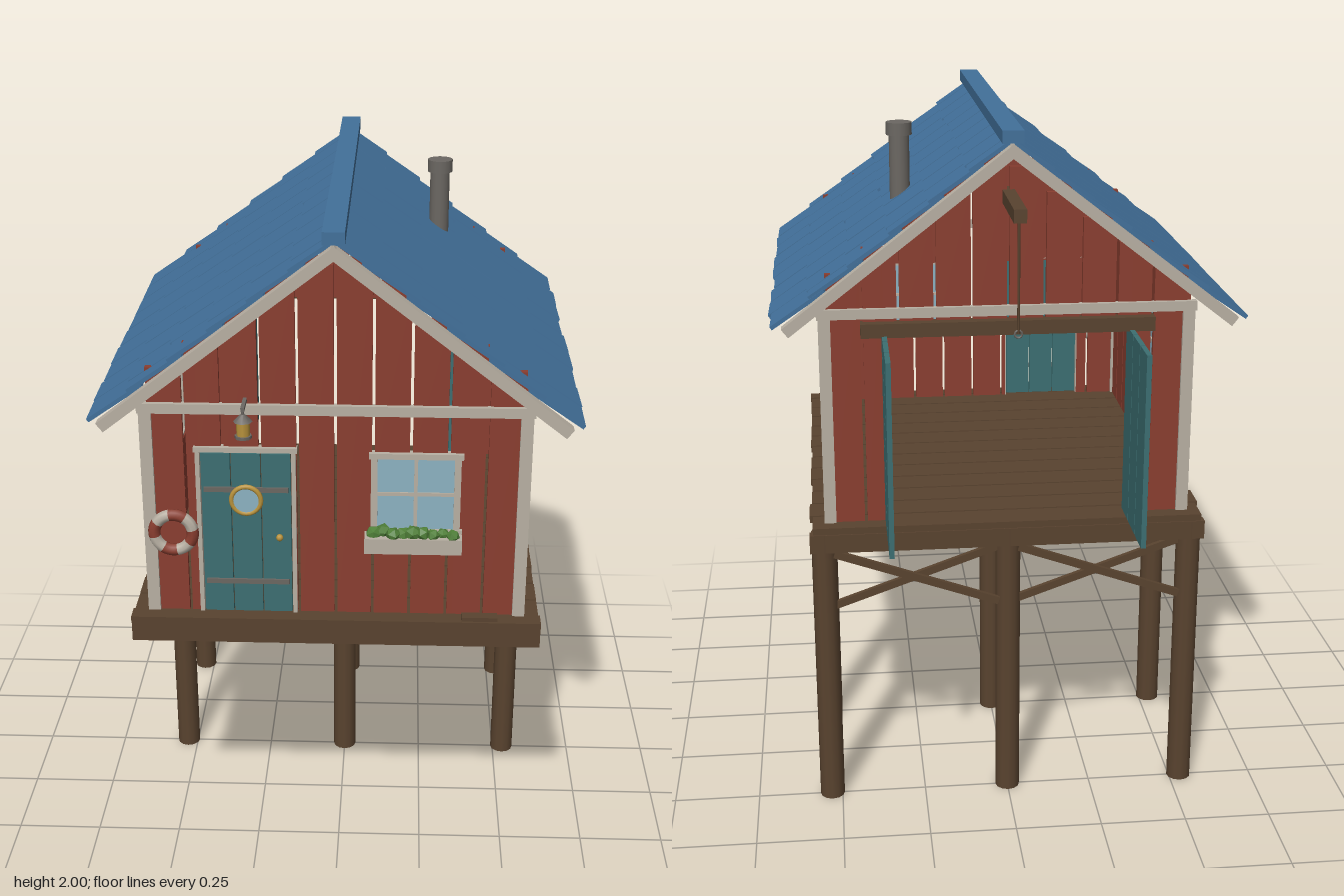
import * as THREE from 'three';

const mat = (name, color, extra) => Object.assign(new THREE.MeshStandardMaterial({ color, ...extra }), { name });
const M = {
  red: mat('barn red', 0x8a3e30),
  blue: mat('roof blue', 0x42709a),
  wood: mat('dark wood', 0x59432f),
  trim: mat('off-white trim', 0xb8b0a3),
  teal: mat('teal paint', 0x3c6f72),
  glass: mat('window glass', 0x8db2c2),
  brass: mat('brass', 0xb8923c),
  green: mat('leaf green', 0x4f7f38),
  metal: mat('grey metal', 0x6b6762),
};

let seed = 7;
const rnd = () => (seed = (seed * 16807) % 2147483647) / 2147483647 - 0.5;

function mesh(parent, name, geo, material, x, y, z) {
  const m = new THREE.Mesh(geo, material);
  m.name = name;
  m.position.set(x, y, z);
  parent.add(m);
  return m;
}
const box = (p, name, material, w, h, d, x, y, z) => mesh(p, name, new THREE.BoxGeometry(w, h, d), material, x, y, z);
const cyl = (p, name, material, r, h, x, y, z, n = 12, r2 = r) =>
  mesh(p, name, new THREE.CylinderGeometry(r, r2, h, n), material, x, y, z);
function group(parent, name, x = 0, y = 0, z = 0, ry = 0) {
  const g = new THREE.Group();
  g.name = name;
  g.position.set(x, y, z);
  g.rotation.y = ry;
  parent.add(g);
  return g;
}

const FLOOR = 0.875, MIDZ = 0.08;

// Vertical boards with gaps; openings [x0, x1, y0, y1] are cut out of each board
function boardWall(parent, width, count, topAt, openings) {
  const pitch = width / count;
  for (let i = 0; i < count; i++) {
    const c = (i + 0.5) * pitch - width / 2;
    let rects = [[c - pitch / 2 + 0.004, c + pitch / 2 - 0.004, FLOOR, topAt(c)]];
    for (const [a, b, lo, hi] of openings) {
      rects = rects.flatMap(([x0, x1, y0, y1]) => {
        if (b <= x0 || a >= x1) return [[x0, x1, y0, y1]];
        const l = Math.max(a, x0), r = Math.min(b, x1);
        return [[x0, a, y0, y1], [b, x1, y0, y1], [l, r, y0, lo], [l, r, hi, y1]];
      }).filter(([x0, x1, y0, y1]) => x1 - x0 > 0.002 && y1 - y0 > 0.002);
    }
    for (const [x0, x1, y0, y1] of rects)
      box(parent, 'wallBoard', M.red, x1 - x0, y1 - y0, 0.016, (x0 + x1) / 2, (y0 + y1) / 2, 0);
  }
}

// Four-pane window lying on the wall plane
function addWindow(parent, x, y, w, h) {
  const g = group(parent, 'window', x, y, 0.008);
  box(g, 'glass', M.glass, w, h, 0.008, 0, 0, 0);
  for (const s of [-1, 1]) {
    box(g, 'windowJamb', M.trim, 0.018, h, 0.024, s * w / 2, 0, 0);
    box(g, 'windowRail', M.trim, w + 0.03, 0.016, 0.026, 0, s * h / 2, 0);
  }
  box(g, 'mullion', M.trim, 0.01, h, 0.016, 0, 0, 0);
  box(g, 'mullion', M.trim, w, 0.01, 0.016, 0, 0, 0);
  return g;
}

function addStilts(root) {
  const g = group(root, 'stilts');
  for (const x of [-0.53, 0, 0.53]) for (const z of [0, -0.5]) cyl(g, 'post', M.wood, 0.036, 0.855, x, 0.4275, z);
  box(g, 'frontBeam', M.wood, 1.14, 0.062, 0.03, 0, 0.832, 0.69);
  box(g, 'backBeam', M.wood, 1.14, 0.055, 0.03, 0, 0.828, -0.52);
  // Crossed braces between the rear posts
  for (const c of [-0.265, 0.265]) for (const s of [-1, 1])
    box(g, 'brace', M.wood, 0.5, 0.022, 0.014, c, 0.71, -0.515 - s * 0.008).rotation.z = s * 0.34;
  for (let i = 0; i < 12; i++)
    box(g, 'floorPlank', M.wood, 1.13 + rnd() * 0.02, 0.022, 0.092, 0, 0.864, -0.485 + i * 0.1);
  box(g, 'frontDeckBoard', M.wood, 1.14, 0.016, 0.05, 0, 0.871, 0.685);
  box(g, 'cleat', M.wood, 0.1, 0.012, 0.03, 0.4, 0.886, 0.69);
}

function addFrontDoor(wall) {
  const g = group(wall, 'frontDoor', -0.243, 1.12, 0.006);
  for (const i of [-1, 0, 1]) box(g, 'doorBoard', M.teal, 0.079, 0.48, 0.016, i * 0.082, 0, 0);
  for (const s of [-1, 1]) {
    box(g, 'doorJamb', M.trim, 0.012, 0.5, 0.026, s * 0.13, 0.005, 0);
    box(g, 'hinge', M.metal, 0.23, 0.014, 0.008, 0, -0.005 + s * 0.14, 0.01);
  }
  box(g, 'doorHeader', M.trim, 0.28, 0.014, 0.028, 0, 0.252, 0);
  mesh(g, 'porthole', new THREE.TorusGeometry(0.04, 0.007, 8, 24), M.brass, 0, 0.105, 0.014);
  cyl(g, 'portholeGlass', M.glass, 0.04, 0.01, 0, 0.105, 0.013, 24).rotation.x = Math.PI / 2;
  mesh(g, 'knob', new THREE.SphereGeometry(0.01, 10, 8), M.brass, 0.09, -0.005, 0.018);
}

function addFrontDetails(wall) {
  // Lantern on its bracket
  const lamp = group(wall, 'lantern', -0.24, 0, 0);
  box(lamp, 'bracket', M.metal, 0.01, 0.01, 0.085, 0, 1.515, 0.04);
  cyl(lamp, 'lampRod', M.metal, 0.004, 0.03, 0, 1.505, 0.075, 6);
  cyl(lamp, 'lampCap', M.metal, 0.006, 0.02, 0, 1.49, 0.075, 8, 0.026);
  cyl(lamp, 'lampGlass', M.brass, 0.018, 0.04, 0, 1.46, 0.075, 8);
  cyl(lamp, 'lampBase', M.metal, 0.023, 0.008, 0, 1.437, 0.075, 8);
  // Life ring with alternating bands
  const ring = group(wall, 'lifeRing', -0.445, 1.125, 0.022);
  for (let i = 0; i < 8; i++)
    mesh(ring, 'ringBand', new THREE.TorusGeometry(0.053, 0.017, 8, 5, Math.PI / 4), i % 2 ? M.red : M.trim, 0, 0, 0)
      .rotation.z = i * Math.PI / 4 + 0.2;
  // Flower box
  const planter = group(wall, 'planter', 0.212, 1.11, 0.034);
  box(planter, 'planterBox', M.trim, 0.265, 0.045, 0.05, 0, 0, 0);
  for (let i = 0; i < 9; i++)
    mesh(planter, 'leaves', new THREE.IcosahedronGeometry(0.02 + rnd() * 0.008, 0), M.green,
      -0.108 + i * 0.027, 0.03 + rnd() * 0.01, rnd() * 0.02).rotation.set(i, i * 2, 0);
}

function addWalls(root) {
  const gable = (x) => 1.922 - 0.7 * Math.abs(x);
  const front = group(root, 'frontWall', 0, 0, 0.65);
  boardWall(front, 1.016, 10, gable, [[-0.37, -0.116, FLOOR, 1.36], [0.11, 0.325, 1.135, 1.36]]);
  addFrontDoor(front);
  addWindow(front, 0.217, 1.248, 0.225, 0.225);
  addFrontDetails(front);

  const back = group(root, 'backWall', 0, 0, -0.475, Math.PI);
  boardWall(back, 1.016, 10, gable, [[-0.345, 0.345, FLOOR, 1.43]]);
  box(back, 'doorLintel', M.wood, 0.82, 0.04, 0.04, 0, 1.445, 0.016);
  // Cargo doors swung fully open
  for (const s of [-1, 1]) for (let i = 0; i < 3; i++)
    box(back, 'cargoDoorBoard', M.teal, 0.014, 0.553, 0.097, s * 0.345, 1.153, 0.035 + i * 0.102);

  for (const w of [front, back]) {
    box(w, 'gableTrim', M.trim, 1.06, 0.028, 0.02, 0, 1.49, 0.012);
    for (const s of [-1, 1]) box(w, 'cornerTrim', M.trim, 0.034, 0.615, 0.036, s * 0.509, 1.183, 0);
  }

  const left = group(root, 'rightWall', -0.508, 0, MIDZ + 0.007, -Math.PI / 2);
  boardWall(left, 1.13, 11, () => 1.52, [[-0.135, 0.105, 1.13, 1.36]]);
  addWindow(left, -0.015, 1.245, 0.23, 0.23);
  for (const s of [-1, 1]) box(left, 'shutter', M.teal, 0.11, 0.24, 0.016, -0.015 + s * 0.186, 1.245, 0.016);
  const right = group(root, 'leftWall', 0.508, 0, MIDZ + 0.007, Math.PI / 2);
  boardWall(right, 1.13, 11, () => 1.52, []);
}

function addRoof(root) {
  const roof = group(root, 'roof', 0, 1.968, MIDZ);
  const slope = Math.atan(0.775), pitch = 0.137, step = 0.143, half = 0.645;
  for (const ry of [0, Math.PI]) {
    const side = group(group(roof, 'roofSide', 0, 0, 0, ry), 'roofSlope');
    side.rotation.z = -slope;
    // Staggered courses of slightly crooked shingles
    for (let r = 0; r < 6; r++) {
      for (let k = 0; k < 10; k++) {
        const end = (r + 1) * pitch + rnd() * 0.012;
        const start = Math.max(0.005, end - 0.178);
        const shift = r % 2 ? 0 : step / 2;
        const z0 = Math.max(-half, -half + k * step - shift), z1 = Math.min(half, -half + (k + 1) * step - shift);
        if (z1 - z0 < 0.02) continue;
        const s = box(side, 'shingle', M.blue, end - start, 0.011, z1 - z0 - 0.009,
          (start + end) / 2, 0.003, (z0 + z1) / 2);
        s.rotation.set(0, rnd() * 0.05, 0.06);
      }
    }
    for (const s of [-1, 1]) box(side, 'bargeBoard', M.trim, 0.79, 0.03, 0.032, 0.395, -0.018, s * 0.665);
  }
  box(roof, 'ridgeCap', M.blue, 0.058, 0.034, 1.35, 0, 0.015, 0);
}

export function createModel() {
  const root = new THREE.Group();
  root.name = 'stiltCabin';
  addStilts(root);
  addWalls(root);
  addRoof(root);
  // Stove pipe
  const pipe = group(root, 'stovePipe', 0.28, 0, -0.17);
  cyl(pipe, 'pipe', M.metal, 0.029, 0.24, 0, 1.82, 0, 16);
  cyl(pipe, 'pipeCap', M.metal, 0.037, 0.036, 0, 1.947, 0, 16);
  // Hoist beam with rope
  const hoist = group(root, 'hoist');
  box(hoist, 'hoistBeam', M.wood, 0.034, 0.036, 0.32, 0, 1.807, -0.598);
  cyl(hoist, 'rope', M.wood, 0.004, 0.31, 0, 1.645, -0.727, 6);
  mesh(hoist, 'hook', new THREE.TorusGeometry(0.01, 0.003, 6, 10), M.metal, 0, 1.488, -0.727);
  return root;
}
